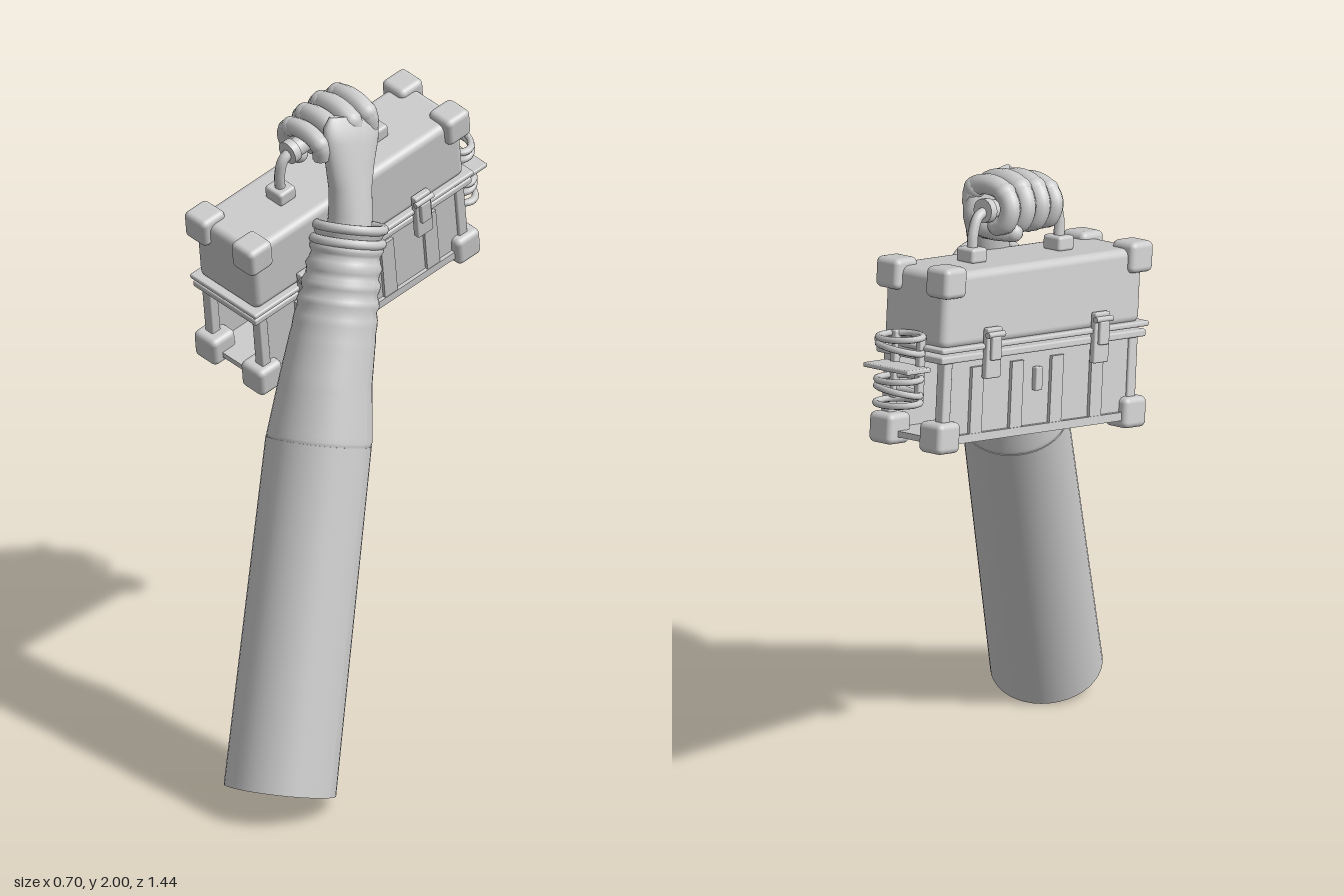
import * as THREE from 'three';
import { RoundedBoxGeometry } from 'three/addons/geometries/RoundedBoxGeometry.js';

const V = (x, y, z) => new THREE.Vector3(x, y, z);

export function createModel() {
  const grey = new THREE.MeshStandardMaterial({ color: 0xcccccc });
  grey.name = 'plain grey';
  const model = new THREE.Group();
  model.name = 'armWithCase';

  const add = (parent, name, geometry, x = 0, y = 0, z = 0) => {
    const m = new THREE.Mesh(geometry, grey);
    m.name = name;
    m.position.set(x, y, z);
    parent.add(m);
    return m;
  };
  const box = (parent, name, w, h, d, x, y, z, r = 0) =>
    add(parent, name, r ? new RoundedBoxGeometry(w, h, d, 3, r) : new THREE.BoxGeometry(w, h, d), x, y, z);
  const tube = (parent, name, pts, r, closed = false) =>
    add(parent, name, new THREE.TubeGeometry(
      new THREE.CatmullRomCurve3(pts.map(p => V(...p)), closed), 32, r, 10, closed));

  // Skin elliptical rings [x, y, z, radiusU, radiusV], each square to a fixed axis
  function loft(name, rings, axis, side, capStart, capEnd) {
    const n = 40, pos = [], idx = [];
    const u = side.clone().addScaledVector(axis, -side.dot(axis)).normalize();
    const v = u.clone().cross(axis).normalize();
    for (const [x, y, z, a, b = a] of rings) {
      for (let i = 0; i <= n; i++) {
        const t = i / n * Math.PI * 2;
        const p = V(x, y, z).addScaledVector(u, a * Math.cos(t)).addScaledVector(v, b * Math.sin(t));
        pos.push(p.x, p.y, p.z);
      }
    }
    for (let r = 0; r < rings.length - 1; r++) {
      for (let i = 0; i < n; i++) {
        const a = r * (n + 1) + i, b = a + n + 1;
        idx.push(a, b, a + 1, b, b + 1, a + 1);
      }
    }
    // End caps have their own vertices so the rim stays sharp
    const cap = (r, flip) => {
      const s = pos.length / 3;
      for (let i = 0; i <= n; i++) {
        const k = (r * (n + 1) + i) * 3;
        pos.push(pos[k], pos[k + 1], pos[k + 2]);
      }
      pos.push(...rings[r].slice(0, 3));
      for (let i = 0; i < n; i++) idx.push(...(flip ? [s + i + 1, s + i, s + n + 1] : [s + i, s + i + 1, s + n + 1]));
    };
    if (capStart) cap(0, false);
    if (capEnd) cap(rings.length - 1, true);
    const g = new THREE.BufferGeometry();
    g.setAttribute('position', new THREE.Float32BufferAttribute(pos, 3));
    g.setIndex(idx);
    g.computeVertexNormals();
    return add(model, name, g);
  }

  // Sleeve
  const armAxis = V(-0.06, 0.97, -0.345).normalize();
  loft('lowerSleeve', [[0.178, 0.06, 0.565, 0.165], [0.12, 1.03, 0.22, 0.156]], armAxis, V(1, 0, 0), true, true);
  const upper = [];
  const profile = [[0.12, 1.0, 0.231, 0.15], [0.121, 1.04, 0.217, 0.155], [0.115, 1.2, 0.168, 0.137],
    [0.11, 1.4, 0.088, 0.12], [0.108, 1.55, 0.033, 0.106], [0.106, 1.625, 0.005, 0.1]];
  for (let k = 0; k < profile.length - 1; k++) {
    for (let j = 0; j < 10; j++) {
      const t = j / 10, p = profile[k].map((a, i) => a + (profile[k + 1][i] - a) * t);
      const fold = THREE.MathUtils.smoothstep(p[1], 1.3, 1.42);
      p[3] += 0.005 * fold * Math.sin(p[1] * 125);
      upper.push(p);
    }
  }
  upper.push(profile[5], [0.106, 1.635, 0.002, 0.088], [0.107, 1.58, 0.02, 0.08]);
  loft('upperSleeve', upper, armAxis, V(1, 0, 0));
  [[0.107, 1.588, 0.018], [0.106, 1.628, 0.003]].forEach(p => {
    const ring = add(model, 'cuffRing', new THREE.TorusGeometry(0.1, 0.015, 10, 40), ...p);
    ring.quaternion.setFromUnitVectors(V(0, 0, 1), armAxis);
  });

  // Case frame: long side along local z, leaning and pitched up to the rear
  const axisZ = V(-0.333, -0.235, 0.914).normalize();
  const axisX = V(0.09, 0.965, 0.24).cross(axisZ).normalize();
  const axisY = axisZ.clone().cross(axisX);
  const kit = new THREE.Group();
  kit.name = 'case';
  kit.quaternion.setFromRotationMatrix(new THREE.Matrix4().makeBasis(axisX, axisY, axisZ));
  kit.position.set(-0.053, 1.498, -0.185);
  model.add(kit);

  // Wrist and palm
  loft('palm', [[0.108, 1.56, 0.02, 0.066, 0.07], [0.1, 1.66, -0.012, 0.062, 0.068], [0.092, 1.74, -0.025, 0.054, 0.074],
    [0.082, 1.81, -0.042, 0.05, 0.092], [0.076, 1.87, -0.058, 0.046, 0.108], [0.072, 1.915, -0.068, 0.038, 0.112],
    [0.066, 1.945, -0.075, 0.02, 0.09]], V(-0.08, 0.95, -0.25).normalize(), axisX, true, true);

  // Lid and its rim
  box(kit, 'lid', 0.25, 0.225, 0.84, 0, 0.143, 0, 0.025);
  box(kit, 'lidRim', 0.28, 0.016, 0.88, 0, 0.03, 0, 0.006);
  box(kit, 'baseRim', 0.268, 0.022, 0.87, 0, 0.002, 0, 0.006);

  // Open-ended base tray
  box(kit, 'floor', 0.24, 0.018, 0.82, 0, -0.244, 0);
  for (const s of [-1, 1]) {
    box(kit, 'sideWall', 0.012, 0.25, 0.81, s * 0.109, -0.12, 0);
    box(kit, 'bottomRail', 0.022, 0.025, 0.82, s * 0.116, -0.24, 0);
    for (const z of [-0.27, -0.1, 0.07, 0.24]) box(kit, 'rib', 0.016, 0.2, 0.05, s * 0.117, -0.13, z);
    // Latches
    for (const z of [-0.23, 0.23]) {
      box(kit, 'latchPlate', 0.022, 0.15, 0.062, s * 0.139, 0.01, z, 0.005);
      box(kit, 'latchClip', 0.016, 0.07, 0.04, s * 0.153, 0.025, z, 0.005);
      add(kit, 'latchPin', new THREE.CylinderGeometry(0.009, 0.009, 0.07, 12), s * 0.151, 0.065, z).rotation.x = Math.PI / 2;
    }
    // Corner posts and bumpers
    for (const e of [-1, 1]) {
      box(kit, 'cornerPost', 0.034, 0.24, 0.034, s * 0.107, -0.12, e * 0.395, 0.006);
      for (const y of [-0.23, 0.23]) box(kit, 'cornerBumper', 0.092, 0.092, 0.092, s * 0.1, y, e * 0.397, 0.018);
    }
  }
  box(kit, 'lock', 0.02, 0.07, 0.028, -0.125, -0.09, -0.015, 0.004);

  // Handle
  for (const e of [-1, 1]) {
    box(kit, 'handleMount', 0.07, 0.045, 0.065, 0, 0.275, e * 0.185, 0.01);
    tube(kit, 'handleArm', [[0, 0.28, e * 0.185], [0, 0.34, e * 0.183], [0, 0.385, e * 0.165], [0, 0.4, e * 0.125]], 0.016);
    add(kit, 'gripCollar', new THREE.CylinderGeometry(0.036, 0.036, 0.025, 20), 0, 0.4, e * 0.135).rotation.x = Math.PI / 2;
  }
  add(kit, 'grip', new THREE.CylinderGeometry(0.029, 0.029, 0.27, 20), 0, 0.4, 0).rotation.x = Math.PI / 2;

  // Fingers curled over the grip, with round tips
  [-0.095, -0.032, 0.032, 0.092].forEach((z, i) => {
    const r = [0.031, 0.033, 0.032, 0.028][i], k = [0, 0.008, 0.004, -0.006][i];
    tube(kit, 'finger', [[0.09, 0.4, z], [0.085, 0.45 + k, z], [0.035, 0.47 + k, z], [-0.035, 0.455 + k, z],
      [-0.062, 0.41, z], [-0.045, 0.365, z], [-0.015, 0.355, z]], r);
    add(kit, 'knuckle', new THREE.SphereGeometry(r * 1.08, 16, 12), 0.082, 0.452 + k, z);
    add(kit, 'fingerJoint', new THREE.SphereGeometry(r * 1.08, 16, 12), -0.037, 0.453 + k, z);
    add(kit, 'fingertip', new THREE.SphereGeometry(r, 16, 12), -0.015, 0.355, z);
  });
  tube(kit, 'thumb', [[0.09, 0.32, -0.03], [0.06, 0.335, -0.075], [0.01, 0.335, -0.085], [-0.045, 0.335, -0.06]], 0.029);
  add(kit, 'thumbTip', new THREE.SphereGeometry(0.029, 16, 12), -0.045, 0.335, -0.06);

  // Coiled cable on a rear rack
  box(kit, 'rackShelf', 0.18, 0.014, 0.1, 0, -0.03, -0.485, 0.004);
  for (const s of [-1, 1]) box(kit, 'rackPost', 0.022, 0.2, 0.025, s * 0.05, -0.03, -0.44, 0.005);
  [0.06, 0.025, -0.065, -0.1, -0.135].forEach((y, i) => {
    const coil = add(kit, 'cableCoil', new THREE.TorusGeometry(0.06, 0.01, 8, 32), 0, y, -0.475);
    coil.scale.set(1.25, 0.85, 1);
    coil.rotation.set(Math.PI / 2 + (i % 2 ? 0.12 : -0.1), i % 2 ? 0.08 : -0.06, 0);
  });

  return model;
}
